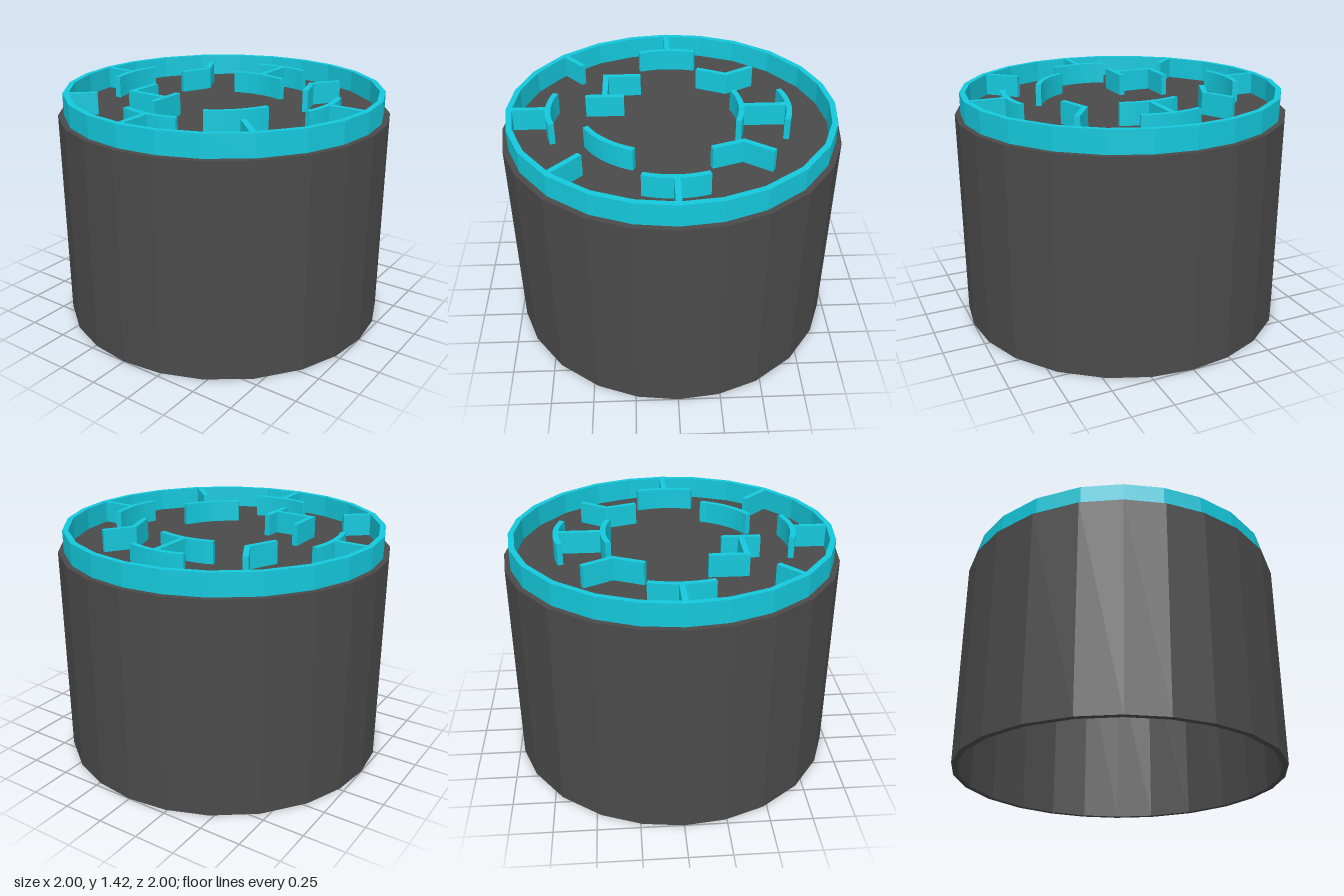
import * as THREE from 'three';

const FLOOR = 1.285, TOP = 1.417, HALF = 0.0165;
const dark = new THREE.MeshStandardMaterial({ color: 0x4a4a4a, flatShading: true });
const cyan = new THREE.MeshStandardMaterial({ color: 0x14c8dc, flatShading: true });

// Corner angles (degrees) within each quarter of the 24-sided outline
const STEPS = [0, 13.9, 28.4, 45, 61.6, 76.1];

// Lathe whose facets follow the uneven corner angles
function facetedLathe(profile) {
  const geo = new THREE.LatheGeometry(profile.map(p => new THREE.Vector2(...p)), 24);
  const pos = geo.attributes.position;
  for (let i = 0; i < pos.count; i++) {
    const k = Math.floor(i / profile.length) % 24;
    const r = Math.hypot(pos.getX(i), pos.getZ(i));
    const a = THREE.MathUtils.degToRad(Math.floor(k / 6) * 90 + STEPS[k % 6]);
    pos.setX(i, r * Math.sin(a));
    pos.setZ(i, r * Math.cos(a));
  }
  const flat = geo.toNonIndexed();
  flat.computeVertexNormals();
  return flat;
}

// Upright wall of even thickness along a path of [x, z] points
function wall(path) {
  const pts = path.map(([x, z]) => new THREE.Vector2(x, -z));
  const normal = i => {
    const d = pts[i + 1].clone().sub(pts[i]).normalize();
    return new THREE.Vector2(-d.y, d.x);
  };
  const left = [], right = [];
  pts.forEach((p, i) => {
    const a = normal(Math.max(i - 1, 0)), b = normal(Math.min(i, pts.length - 2));
    const m = a.clone().add(b).normalize();
    m.multiplyScalar(HALF / m.dot(a));
    left.push(p.clone().add(m));
    right.push(p.clone().sub(m));
  });
  const geo = new THREE.ExtrudeGeometry(new THREE.Shape([...right, ...left.reverse()]),
    { depth: TOP - FLOOR + 0.005, bevelEnabled: false });
  return geo.rotateX(-Math.PI / 2).translate(0, FLOOR - 0.005, 0);
}

// Shallow arc from a to b passing through mid
function arc(a, mid, b) {
  const ctrl = mid.map((m, i) => 2 * m - (a[i] + b[i]) / 2);
  return new THREE.QuadraticBezierCurve(new THREE.Vector2(...a), new THREE.Vector2(...ctrl),
    new THREE.Vector2(...b)).getPoints(8).map(p => [p.x, p.y]);
}

export function createModel() {
  const model = new THREE.Group();
  const add = (name, geo, mat) => {
    const mesh = new THREE.Mesh(geo, mat);
    mesh.name = name;
    model.add(mesh);
  };

  // Hollow cup, closed at the top and open underneath
  add('cupBody', facetedLathe([[0, 1.235], [0.965, 1.235], [0.965, 0], [1, 0], [1, FLOOR], [0, FLOOR]]), dark);

  // Raised rim
  add('rim', facetedLathe([[0.932, TOP], [0.932, FLOOR - 0.005], [0.966, FLOOR - 0.005],
    [0.966, TOP], [0.932, TOP]]), cyan);

  // Raised walls on the floor inside the rim
  const walls = {
    backStem: [[0, -0.945], [0, -0.73]],
    backArc: arc([-0.183, -0.703], [0, -0.731], [0.178, -0.703]),
    frontStem: [[0, 0.94], [0, 0.715]],
    frontArc: arc([-0.183, 0.685], [0, 0.715], [0.178, 0.685]),
    rightStem: [[-0.945, 0], [-0.72, 0]],
    rightArc: arc([-0.69, -0.178], [-0.722, 0], [-0.69, 0.18]),
    leftStem: [[0.405, 0], [0.686, 0]],
    leftInnerArc: arc([0.378, -0.178], [0.41, 0], [0.378, 0.18]),
    leftOuterArc: arc([0.657, -0.178], [0.688, 0], [0.657, 0.18]),
    backSpoke: [[-0.675, -0.685], [-0.543, -0.532]],
    frontSpoke: [[-0.682, 0.662], [-0.514, 0.488]],
    backChevron: [[0.178, -0.462], [0.355, -0.383], [0.525, -0.477]],
    frontChevron: [[0.202, 0.45], [0.384, 0.388], [0.543, 0.495]],
    hookWall: [[-0.178, -0.388], [-0.394, -0.388], [-0.394, -0.138]],
    hookFoot: [[-0.51, -0.136], [-0.28, -0.136]],
    diagonalArc: arc([-0.494, 0.21], [-0.383, 0.354], [-0.223, 0.452]),
  };
  for (const [name, path] of Object.entries(walls)) add(name, wall(path), cyan);

  return model;
}
